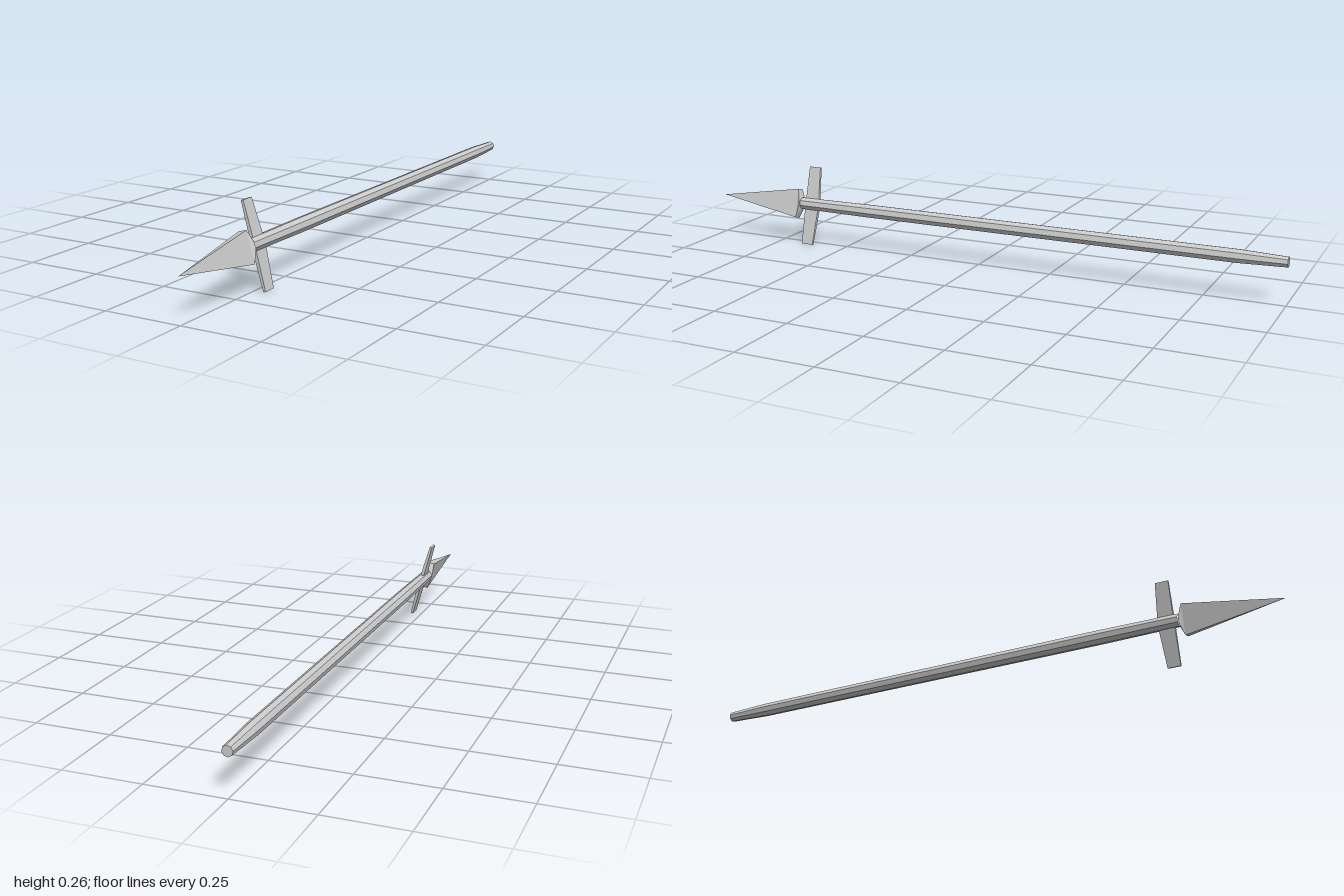
import * as THREE from 'three';
import { ConvexGeometry } from 'three/addons/geometries/ConvexGeometry.js';

const SIDES = 8;
const material = new THREE.MeshStandardMaterial({ color: 0xcccccc, flatShading: true });

function part(name, geometry, parent) {
  const mesh = new THREE.Mesh(geometry, material);
  mesh.name = name;
  parent.add(mesh);
  return mesh;
}

export function createModel() {
  const model = new THREE.Group();
  model.name = 'spear';

  // The whole spear lies along z, rolled slightly about its own axis
  const spear = new THREE.Group();
  spear.name = 'rolledSpear';
  spear.position.set(-0.001, 0.135, 0);
  spear.rotation.z = THREE.MathUtils.degToRad(15);
  model.add(spear);

  // Eight-sided shaft, narrowing at both ends
  const profile = [[0, -1], [0.017, -1], [0.0225, -0.85], [0.0235, 0.4], [0.021, 0.675]]
    .map(([r, z]) => new THREE.Vector2(r, z));
  const shaft = new THREE.LatheGeometry(profile, SIDES);
  shaft.rotateY(Math.PI / SIDES).rotateX(Math.PI / 2);
  part('shaft', shaft, spear).position.set(-0.001, 0.002, 0);

  // Four-sided pointed head on a thin rectangular base
  const width = 0.027, height = 0.099, baseZ = 0.69;
  const head = new THREE.ConeGeometry(Math.SQRT1_2, 1 - baseZ, 4);
  head.rotateY(Math.PI / 4).rotateX(Math.PI / 2);
  head.scale(width, height, 1);
  head.translate(0, 0, (1 + baseZ) / 2);
  part('head', head, spear);

  // Socket blending the shaft ring into the base of the head
  const points = [];
  for (const sx of [-1, 1]) for (const sy of [-1, 1]) {
    points.push(new THREE.Vector3(sx * width / 2, sy * height / 2, baseZ));
  }
  for (let i = 0; i < SIDES; i++) {
    const a = (i + 0.5) / SIDES * Math.PI * 2;
    points.push(new THREE.Vector3(0.0225 * Math.cos(a), 0.0225 * Math.sin(a), 0.677));
  }
  part('socket', new ConvexGeometry(points), spear);

  // Crossguard bar, tapering towards both tips with a straight front edge
  const guard = new THREE.BoxGeometry(0.013, 0.268, 0.052, 1, 2, 1);
  const pos = guard.attributes.position;
  for (let i = 0; i < pos.count; i++) {
    if (Math.abs(pos.getY(i)) < 0.01) continue;
    pos.setX(i, pos.getX(i) * 0.6);
    if (pos.getZ(i) < 0) pos.setZ(i, -0.016);
  }
  part('crossguard', guard, spear).position.set(0, -0.003, 0.633);

  return model;
}
